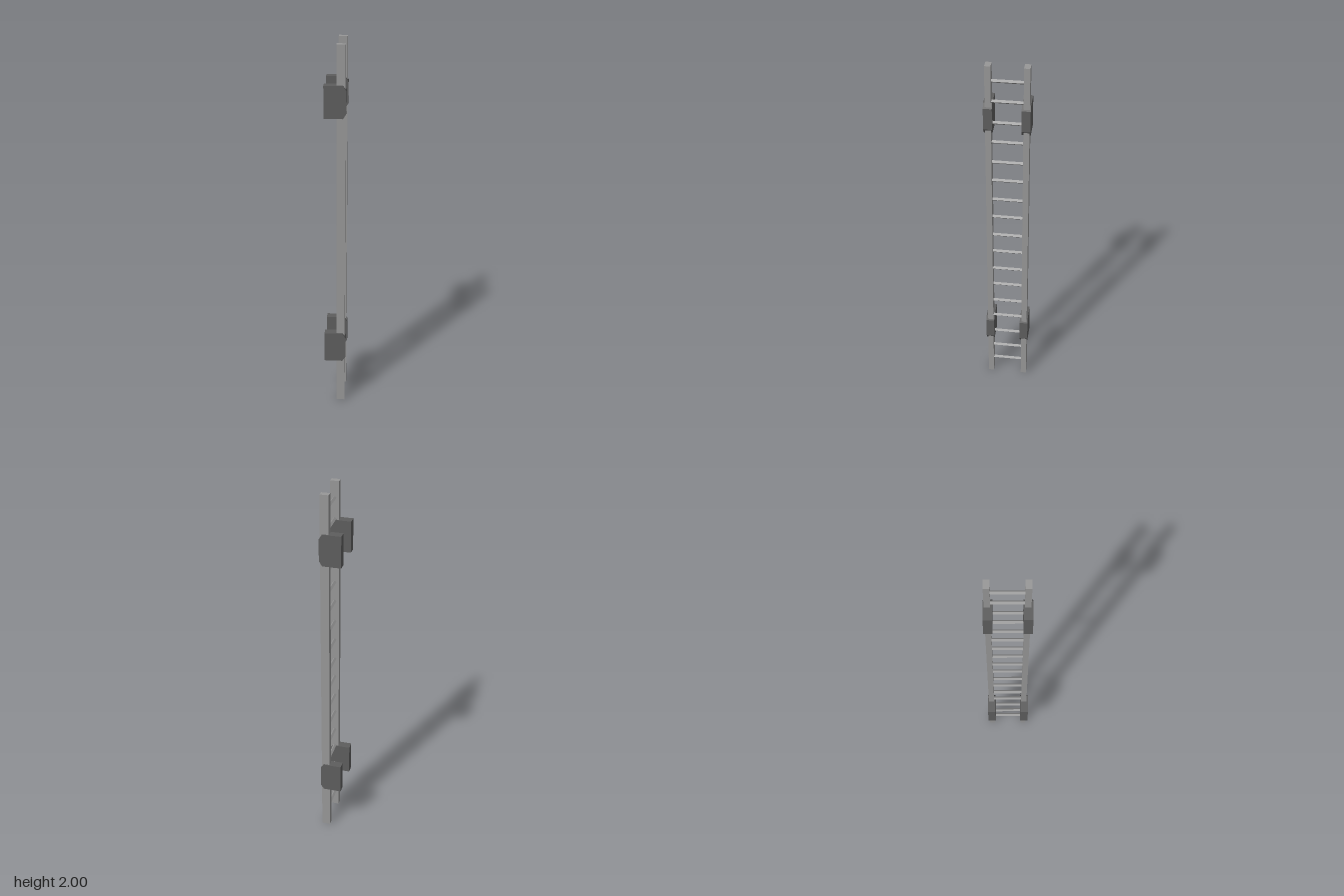
import * as THREE from 'three';

export function createModel() {
  const model = new THREE.Group();
  model.name = 'wallLadder';
  const railMetal = new THREE.MeshStandardMaterial({ color: 0x989898, flatShading: true });
  railMetal.name = 'light grey metal';
  const bracketMetal = new THREE.MeshStandardMaterial({ color: 0x5e5e5e, flatShading: true });
  bracketMetal.name = 'dark grey metal';

  function add(name, geometry, material, x, y, z) {
    const mesh = new THREE.Mesh(geometry, material);
    mesh.name = name;
    mesh.position.set(x, y, z);
    model.add(mesh);
    return mesh;
  }

  // Two upright rails
  const railX = 0.029;
  const railGeometry = new THREE.BoxGeometry(0.045, 2, 0.03);
  add('frontRail', railGeometry, railMetal, railX, 1, 0.092);
  add('backRail', railGeometry, railMetal, railX, 1, -0.096);

  // Slim four-sided rungs, set edge up, in unevenly spaced pairs
  const rungGeometry = new THREE.CylinderGeometry(0.0095, 0.0095, 0.165, 4).rotateX(Math.PI / 2);
  const heights = [0.092];
  for (let i = 0; i < 8; i++) heights.push(1.913 - i * 0.23, 1.802 - i * 0.23);
  for (const y of heights) add('rung', rungGeometry, railMetal, railX, y, -0.002);

  // Wall brackets: blocks with chamfered corners on the ladder side
  const profile = new THREE.Shape([
    [-0.057, -0.084], [0.04, -0.084], [0.056, -0.058],
    [0.056, 0.058], [0.04, 0.084], [-0.057, 0.084],
  ].map(([x, y]) => new THREE.Vector2(x, y)));
  const depth = 0.044;
  const bracketGeometry = new THREE.ExtrudeGeometry(profile, { depth, bevelEnabled: false });
  bracketGeometry.translate(0, 0, -depth / 2);
  for (const y of [0.337, 1.714]) {
    for (const z of [-0.094, 0.094]) add('wallBracket', bracketGeometry, bracketMetal, 0, y, z);
  }
  return model;
}
